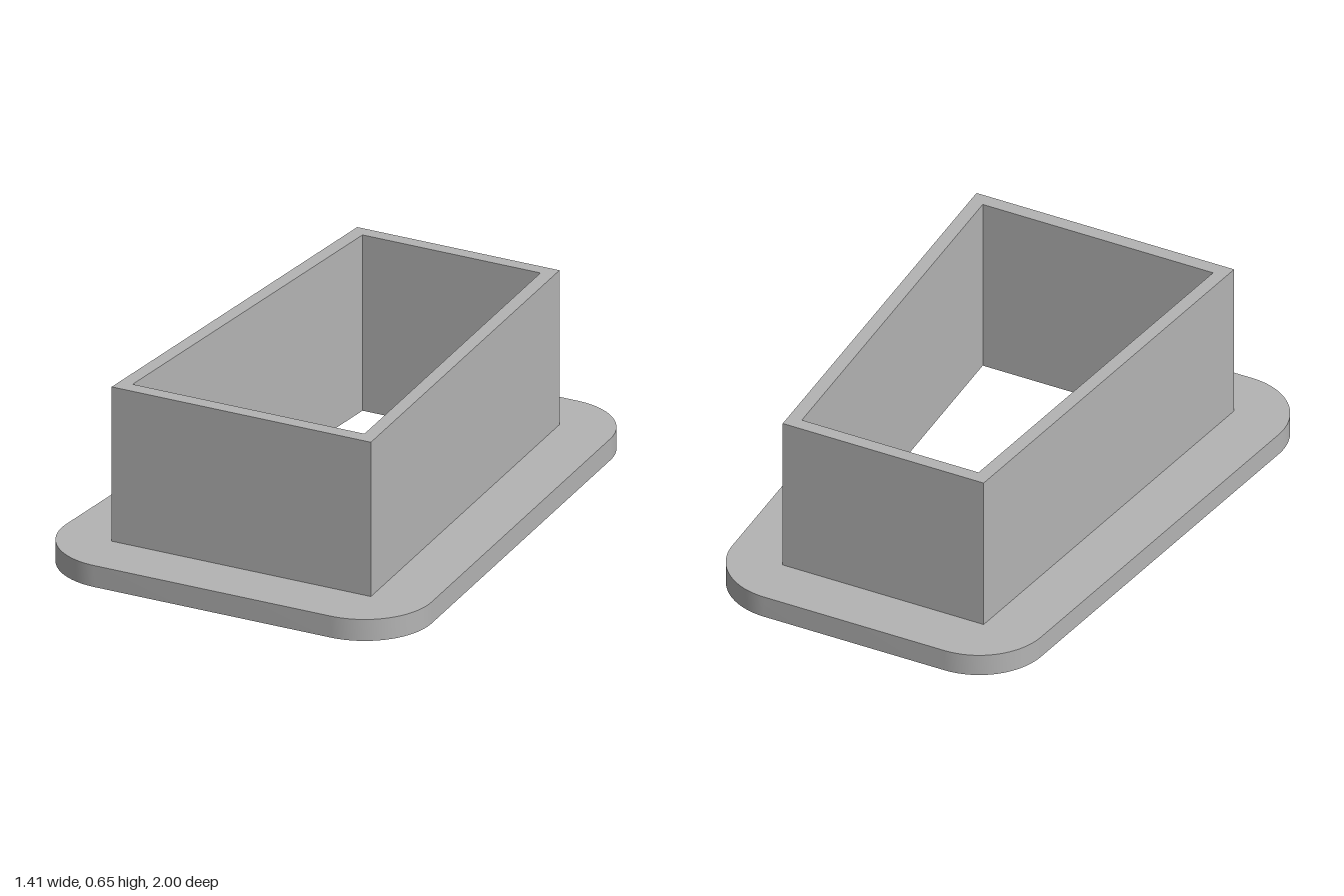
import * as THREE from 'three';
import { toCreasedNormals } from 'three/addons/utils/BufferGeometryUtils.js';

const FLANGE_TOP = 0.08;
const WALL_TOP = 0.655;

// Trapezoid corners; plan coordinates are (x, -z), so the wider front is at negative y
function trapezoid(backHalf, backZ, frontHalf, frontZ) {
  return [[-frontHalf, -frontZ], [frontHalf, -frontZ], [backHalf, -backZ], [-backHalf, -backZ]]
    .map(([x, y]) => new THREE.Vector2(x, y));
}

// Tapered outline with rounded corners
function flangeOutline() {
  const r = 0.25, taper = 0.07;
  const tilt = Math.atan(taper);
  const centreX = (z) => 0.653 + taper * z - r / Math.cos(tilt);
  const front = centreX(0.75), back = centreX(-0.75);
  const q = Math.PI / 2;
  const shape = new THREE.Shape();
  shape.absarc(front, -0.75, r, -q, tilt, false);
  shape.absarc(back, 0.75, r, tilt, q, false);
  shape.absarc(-back, 0.75, r, q, 2 * q - tilt, false);
  shape.absarc(-front, -0.75, r, 2 * q - tilt, 3 * q, false);
  shape.closePath();
  return shape;
}

// Raises a plan shape from y0 to y1
function raise(name, shape, y0, y1, material) {
  const extruded = new THREE.ExtrudeGeometry(shape, { depth: y1 - y0, bevelEnabled: false, curveSegments: 16 });
  extruded.rotateX(-Math.PI / 2);
  extruded.translate(0, y0, 0);
  const mesh = new THREE.Mesh(toCreasedNormals(extruded, Math.PI / 6), material);
  mesh.name = name;
  return mesh;
}

export function createModel() {
  const grey = new THREE.MeshStandardMaterial({ color: 0xb4b4b4 });
  grey.name = 'plain grey';

  const opening = new THREE.Path(trapezoid(0.343, -0.743, 0.447, 0.737).reverse());

  // Flat rounded base with the opening through it
  const flange = flangeOutline();
  flange.holes.push(opening);

  // Upright sleeve around the opening
  const sleeve = new THREE.Shape(trapezoid(0.39, -0.793, 0.5, 0.79));
  sleeve.holes.push(opening);

  const model = new THREE.Group();
  model.name = 'flanged sleeve';
  model.add(
    raise('flange', flange, 0, FLANGE_TOP, grey),
    raise('sleeve', sleeve, FLANGE_TOP, WALL_TOP, grey),
  );
  return model;
}
